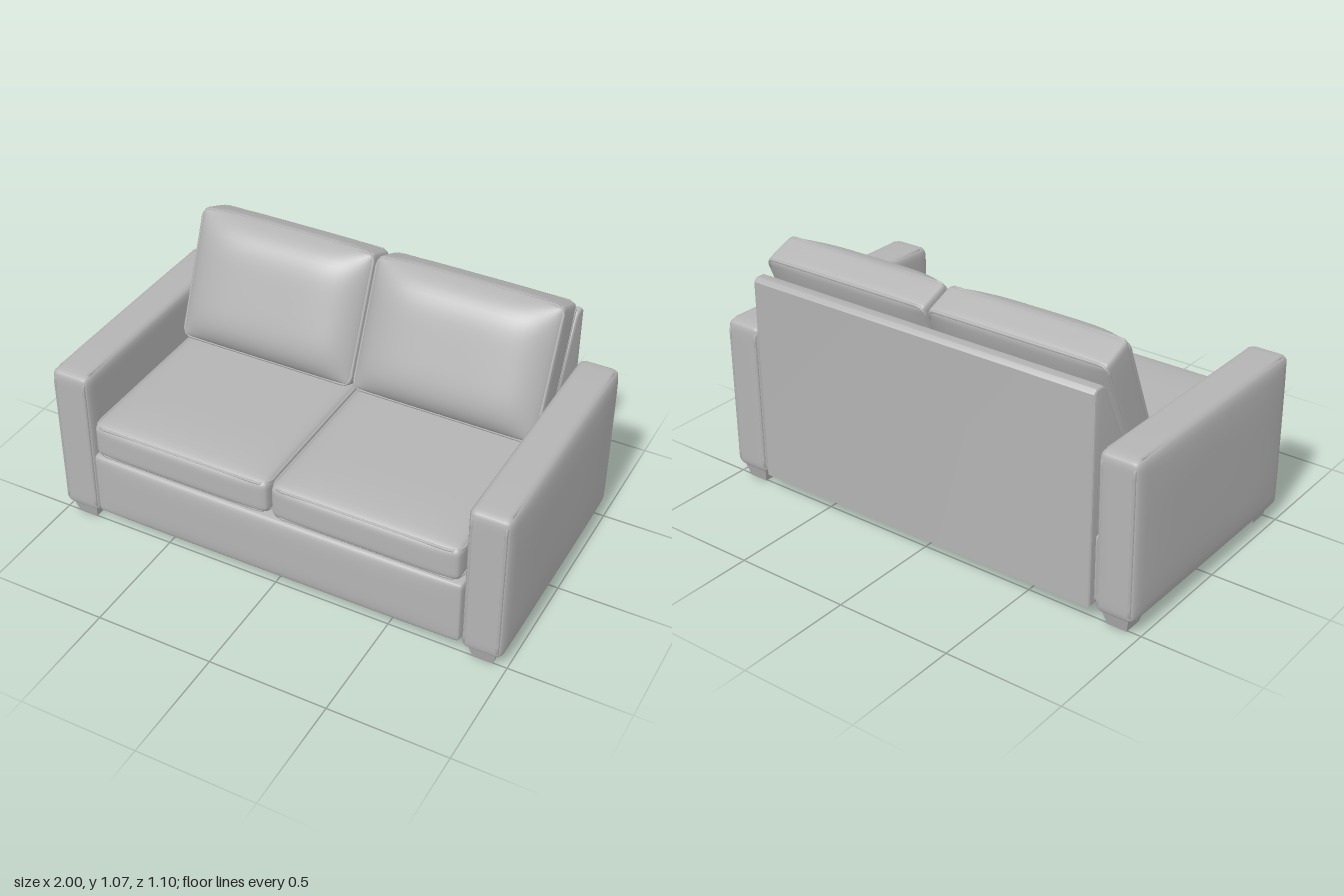
import * as THREE from 'three';
import { mergeVertices, toCreasedNormals } from 'three/addons/utils/BufferGeometryUtils.js';

const fabric = new THREE.MeshStandardMaterial({ color: 0xb4b4b4 });
fabric.name = 'grey fabric';

// Soft upholstered block: rounded edges, faces swelling by the amounts in `bulge`
function padGeometry(w, h, d, r, bulge = {}, n = 20) {
  const geo = new THREE.BoxGeometry(2, 2, 2, n, n, n);
  geo.deleteAttribute('uv');
  geo.deleteAttribute('normal');
  const half = new THREE.Vector3(w / 2, h / 2, d / 2);
  const inner = half.clone().subScalar(r);
  const pos = geo.attributes.position;
  const p = new THREE.Vector3(), core = new THREE.Vector3();
  const swell = (a, b) => (1 - Math.min(1, Math.abs(a)) ** 5) * (1 - Math.min(1, Math.abs(b)) ** 5);
  for (let i = 0; i < pos.count; i++) {
    p.fromBufferAttribute(pos, i);
    // crowd the grid towards the edges, then round them
    for (const k of ['x', 'y', 'z']) p[k] = Math.sin(p[k] * Math.PI / 2) * half[k];
    core.copy(p).clamp(inner.clone().negate(), inner);
    p.sub(core);
    if (p.length() > 1e-6) p.setLength(r);
    p.add(core);
    const u = p.clone().divide(half);
    const push = (k, a, b) => {
      const amount = bulge[(u[k] > 0 ? '+' : '-') + k] || 0;
      p[k] += amount * u[k] * swell(u[a], u[b]);
    };
    push('x', 'y', 'z');
    push('y', 'x', 'z');
    push('z', 'x', 'y');
    pos.setXYZ(i, p.x, p.y, p.z);
  }
  const merged = mergeVertices(geo, 1e-5);
  merged.computeVertexNormals();
  return merged;
}

// Closed welt cord round a rounded rectangle in the XY plane
function pipingGeometry(w, h, corner, radius) {
  const s = new THREE.Shape();
  const x = w / 2 - corner, y = h / 2 - corner;
  s.absarc(x, y, corner, 0, Math.PI / 2);
  s.absarc(-x, y, corner, Math.PI / 2, Math.PI);
  s.absarc(-x, -y, corner, Math.PI, Math.PI * 1.5);
  s.absarc(x, -y, corner, Math.PI * 1.5, Math.PI * 2);
  s.closePath();
  const pts = s.getSpacedPoints(80).slice(0, -1).map(q => new THREE.Vector3(q.x, q.y, 0));
  return new THREE.TubeGeometry(new THREE.CatmullRomCurve3(pts, true), 120, radius, 6, true);
}

function add(parent, name, geo, x = 0, y = 0, z = 0) {
  const mesh = new THREE.Mesh(geo, fabric);
  mesh.name = name;
  mesh.position.set(x, y, z);
  parent.add(mesh);
  return mesh;
}

export function createModel() {
  const sofa = new THREE.Group();
  sofa.name = 'sofa';

  // Base with softly padded front
  add(sofa, 'baseRail', padGeometry(1.63, 0.29, 1.06, 0.02, { '+z': 0.012 }), 0, 0.22, 0.01);

  // Backrest frame: upright rear, sloping front
  const profile = new THREE.Shape([
    [-0.54, 0.08], [-0.2, 0.08], [-0.2, 0.36], [-0.485, 0.935], [-0.5, 0.945], [-0.53, 0.945], [-0.54, 0.935],
  ].map(([z, y]) => new THREE.Vector2(z, y)));
  const frame = new THREE.ExtrudeGeometry(profile, {
    depth: 1.59, bevelEnabled: true, bevelThickness: 0.01, bevelSize: 0.01, bevelSegments: 3,
  });
  frame.rotateY(-Math.PI / 2);
  frame.translate(0.795, 0, 0);
  add(sofa, 'backFrame', toCreasedNormals(frame, 0.6));

  const foot = toCreasedNormals(
    new THREE.CylinderGeometry(0.06 * Math.SQRT2, 0.042 * Math.SQRT2, 0.07, 4).rotateY(Math.PI / 4), 0.5);

  for (const side of [1, -1]) {
    const label = side > 0 ? 'left' : 'right';

    // Arm with welted edges
    const arm = new THREE.Group();
    arm.name = label + 'Arm';
    sofa.add(arm);
    const swell = { '+y': 0.008, [side > 0 ? '+x' : '-x']: 0.015 };
    add(arm, 'armPad', padGeometry(0.17, 0.67, 1.075, 0.03, swell), side * 0.9, 0.39, -0.002);
    for (const x of [0.833, 0.967]) {
      const cord = add(arm, 'armPiping', pipingGeometry(1.065, 0.66, 0.035, 0.007), side * x, 0.39, -0.002);
      cord.rotation.y = Math.PI / 2;
    }

    // Feet
    for (const z of [0.46, -0.465]) add(sofa, z > 0 ? 'frontFoot' : 'backFoot', foot, side * 0.9, 0.035, z);

    // Seat cushion
    const seat = new THREE.Group();
    seat.name = label + 'SeatCushion';
    seat.position.set(side * 0.403, 0.448, 0.095);
    sofa.add(seat);
    add(seat, 'seatPad', padGeometry(0.795, 0.155, 0.89, 0.03, { '+y': 0.025, '+z': 0.012 }));
    for (const y of [0.066, -0.066]) {
      add(seat, 'seatPiping', pipingGeometry(0.788, 0.884, 0.045, 0.006), 0, y, 0).rotation.x = Math.PI / 2;
    }

    // Leaning back cushion, plump at the front
    const back = new THREE.Group();
    back.name = label + 'BackCushion';
    back.position.set(side * 0.404, 0.783, -0.301);
    back.rotation.x = -0.391;
    sofa.add(back);
    add(back, 'backPad', padGeometry(0.79, 0.555, 0.15, 0.018,
      { '+z': 0.09, '-z': 0.015, '+y': 0.012, '+x': 0.006, '-x': 0.006 }, 28));
    for (const z of [0.068, -0.068]) {
      add(back, 'backPiping', pipingGeometry(0.788, 0.552, 0.03, 0.007), 0, 0, z);
    }
  }
  return sofa;
}
